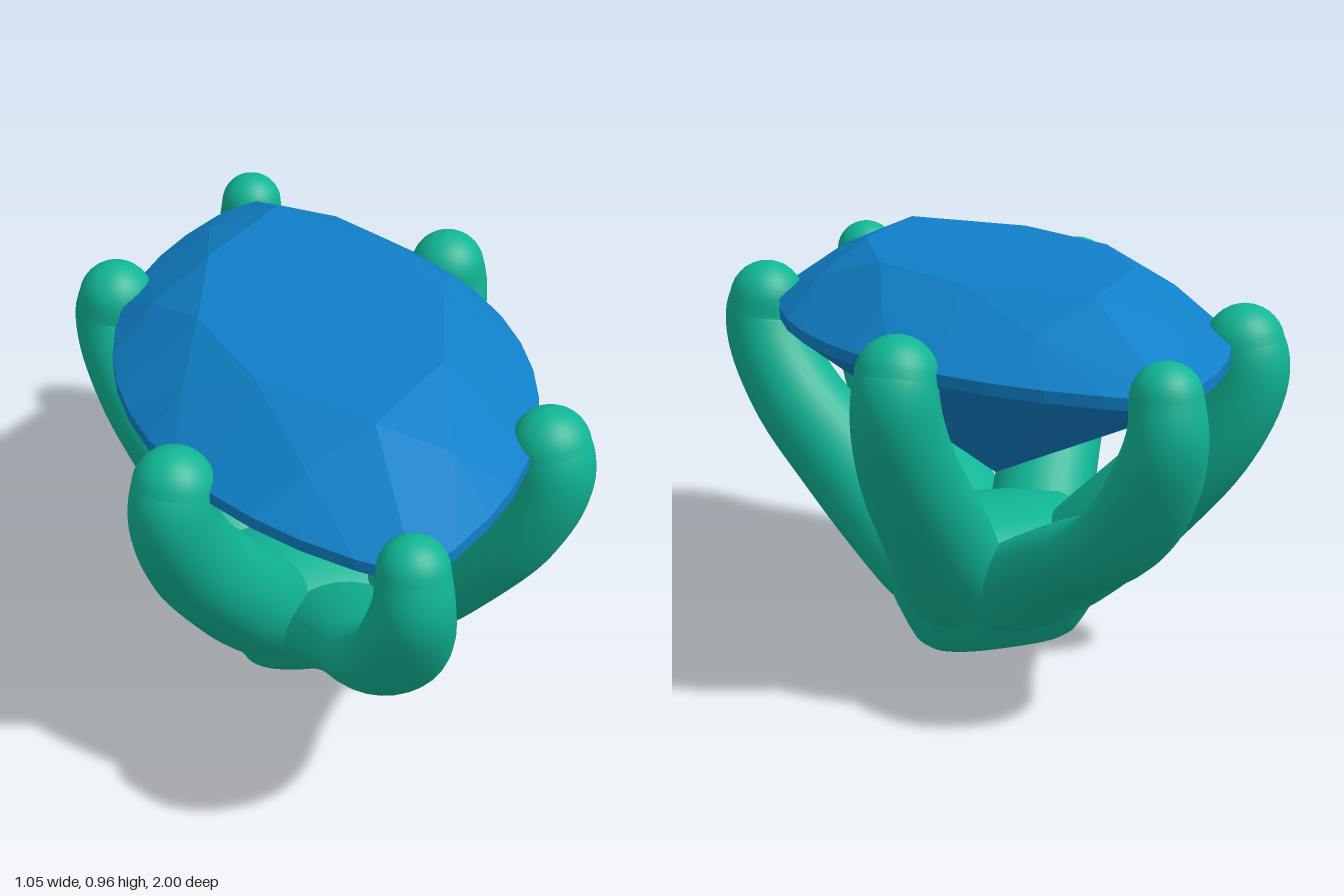
import * as THREE from 'three';
import { ConvexGeometry } from 'three/addons/geometries/ConvexGeometry.js';

const metal = new THREE.MeshStandardMaterial({ color: 0x10b595 });
const gemMaterial = new THREE.MeshStandardMaterial({ color: 0x1080c8, flatShading: true });

// Skin closed rings of points (all the same length) and close both ends with a fan
function loft(rings) {
  const n = rings[0].length, pos = [], idx = [];
  rings.forEach(r => r.forEach(p => pos.push(p.x, p.y, p.z)));
  for (let i = 0; i < rings.length - 1; i++) {
    for (let j = 0; j < n; j++) {
      const a = i * n + j, b = i * n + (j + 1) % n;
      idx.push(a, b, a + n, b, b + n, a + n);
    }
  }
  [0, rings.length - 1].forEach((r, end) => {
    const c = pos.length / 3;
    const m = rings[r].reduce((s, p) => s.add(p), new THREE.Vector3()).divideScalar(n);
    pos.push(m.x, m.y, m.z);
    for (let j = 0; j < n; j++) {
      const a = r * n + j, b = r * n + (j + 1) % n;
      if (end) idx.push(a, b, c); else idx.push(b, a, c);
    }
  });
  const g = new THREE.BufferGeometry();
  g.setAttribute('position', new THREE.Float32BufferAttribute(pos, 3));
  g.setIndex(idx);
  g.computeVertexNormals();
  return g;
}

// Tapering prong with a domed tip; each station is [x, y, z, sideways radius, in-plane radius]
function prongGeometry(stations) {
  const path = new THREE.CatmullRomCurve3(stations.map(s => new THREE.Vector3(s[0], s[1], s[2])));
  const radii = new THREE.CatmullRomCurve3(stations.map(s => new THREE.Vector3(s[3], s[4], 0)));
  const last = stations[stations.length - 1];
  const side = new THREE.Vector3(last[2], 0, -last[0]).normalize();
  const rings = [];
  const addRing = (c, t, rs, rp) => {
    const u = side.clone().addScaledVector(t, -side.dot(t)).normalize();
    const v = new THREE.Vector3().crossVectors(t, u);
    rings.push(Array.from({ length: 28 }, (_, j) => {
      const a = j / 28 * Math.PI * 2;
      return c.clone().addScaledVector(u, rs * Math.cos(a)).addScaledVector(v, rp * Math.sin(a));
    }));
  };
  for (let i = 0; i <= 40; i++) {
    const r = radii.getPoint(i / 40);
    addRing(path.getPoint(i / 40), path.getTangent(i / 40), r.x, r.y);
  }
  const end = path.getPoint(1), t = path.getTangent(1);
  for (let i = 1; i <= 8; i++) {
    const a = i / 8.2 * Math.PI / 2, k = Math.cos(a);
    addRing(end.clone().addScaledVector(t, last[4] * Math.sin(a)), t, last[3] * k, last[4] * k);
  }
  return loft(rings);
}

// Rounded foot where the prongs merge: [y, half width, half depth]
function footGeometry() {
  const levels = [[0.004, 0.15, 0.07], [0.006, 0.18, 0.095], [0.02, 0.2, 0.115], [0.05, 0.217, 0.14],
    [0.1, 0.24, 0.18], [0.17, 0.265, 0.235], [0.24, 0.275, 0.26], [0.3, 0.25, 0.22],
    [0.34, 0.2, 0.14], [0.355, 0.1, 0.06]];
  const power = (c) => Math.sign(c) * Math.abs(c) ** 0.75;
  return loft(levels.map(([y, w, d]) => Array.from({ length: 48 }, (_, j) => {
    const a = -j / 48 * Math.PI * 2;
    return new THREE.Vector3(w * power(Math.cos(a)), y, d * power(Math.sin(a)));
  })));
}

// Pointed-oval outline made of two arcs, u from 0 to 1
function outline(u, scale, y) {
  const w = 0.485, l = 0.93, R = (w * w + l * l) / (2 * w);
  const s = u < 0.5 ? 1 : -1;
  const phi = ((u % 0.5) * 4 - 1) * Math.asin(l / R);
  return new THREE.Vector3(s * (R * Math.cos(phi) - R + w) * scale, y, s * R * Math.sin(phi) * scale);
}

// Faceted stone: table, crown, girdle and a single culet point
function gemGeometry() {
  const pts = [new THREE.Vector3(0, 0.425, 0)];
  for (let k = 0; k < 8; k++) {
    pts.push(outline(k / 8, 0.6, 0.965), outline((k + 0.5) / 8, 0.81, 0.9));
  }
  for (let k = 0; k < 32; k++) {
    pts.push(outline(k / 32, 1, 0.817), outline(k / 32, 1, 0.79));
  }
  return new ConvexGeometry(pts);
}

export function createModel() {
  const model = new THREE.Group();
  const add = (name, geometry, material) => {
    const m = new THREE.Mesh(geometry, material);
    m.name = name;
    model.add(m);
  };

  add('gemstone', gemGeometry(), gemMaterial);
  add('settingFoot', footGeometry(), metal);

  // Prongs at the two pointed ends
  for (const s of [1, -1]) {
    add(s > 0 ? 'frontTipProng' : 'backTipProng', prongGeometry([
      [0, 0.14, s * 0.03, 0.14, 0.1],
      [0, 0.19, s * 0.17, 0.16, 0.11],
      [0, 0.27, s * 0.32, 0.15, 0.1],
      [0, 0.35, s * 0.48, 0.135, 0.09],
      [0, 0.42, s * 0.64, 0.12, 0.085],
      [0, 0.51, s * 0.77, 0.115, 0.083],
      [0, 0.63, s * 0.87, 0.105, 0.08],
      [0, 0.74, s * 0.92, 0.088, 0.079],
      [0, 0.82, s * 0.912, 0.078, 0.077],
    ]), metal);
  }

  // Four prongs along the sides
  for (const sx of [1, -1]) {
    for (const sz of [1, -1]) {
      add((sz > 0 ? 'front' : 'back') + (sx > 0 ? 'Left' : 'Right') + 'Prong', prongGeometry([
        [0.1, 0.13, 0.02, 0.1, 0.1],
        [0.15, 0.2, 0.09, 0.13, 0.12],
        [0.21, 0.3, 0.19, 0.13, 0.125],
        [0.285, 0.42, 0.29, 0.122, 0.122],
        [0.37, 0.56, 0.39, 0.113, 0.113],
        [0.42, 0.69, 0.452, 0.103, 0.103],
        [0.43, 0.76, 0.468, 0.097, 0.097],
        [0.424, 0.805, 0.462, 0.093, 0.092],
      ].map(([x, y, z, a, b]) => [x * sx, y, z * sz, a, b])), metal);
    }
  }
  return model;
}
